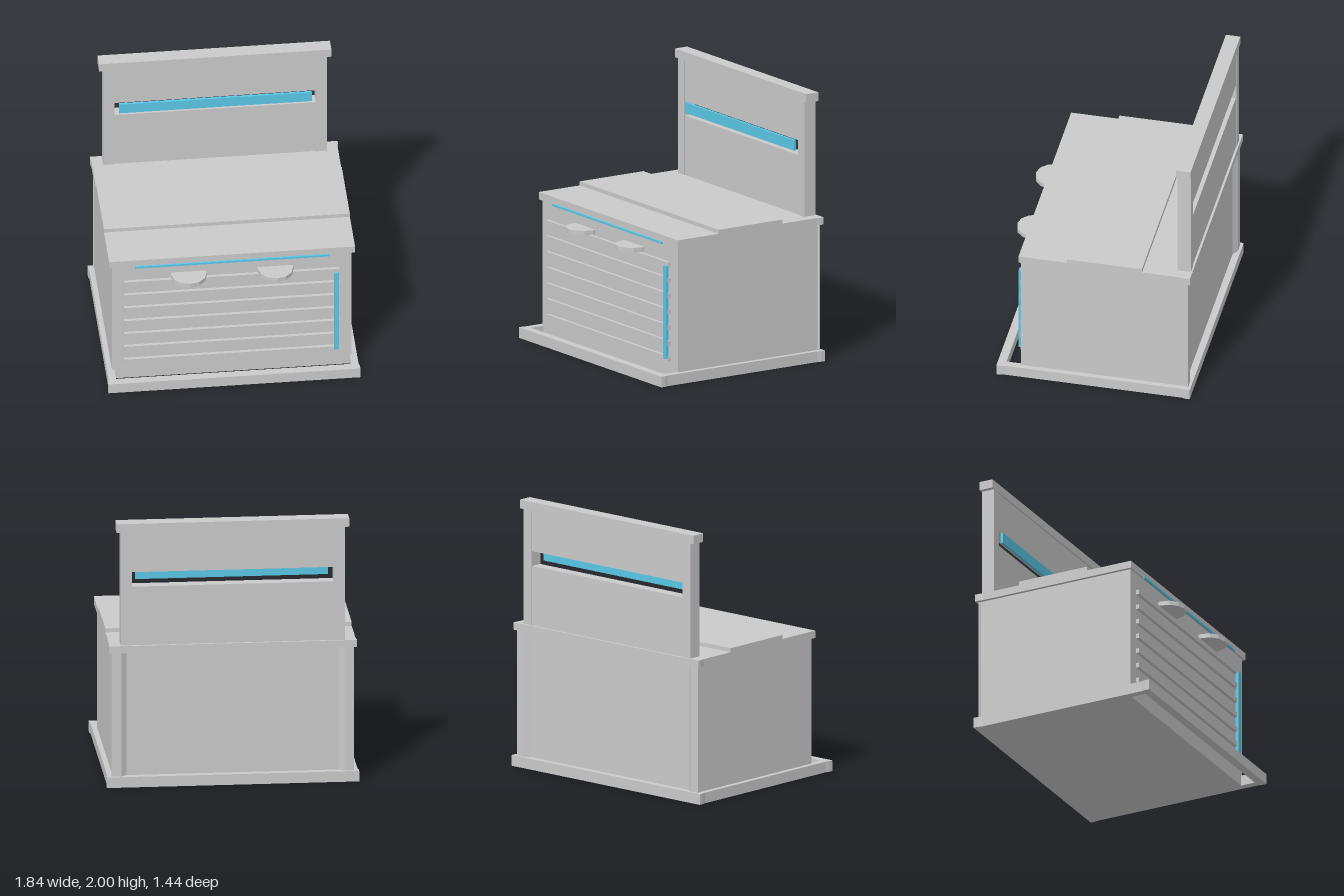
import * as THREE from 'three';

export function createModel() {
  const model = new THREE.Group();
  model.name = 'cabinet';
  const grey = new THREE.MeshStandardMaterial({ color: 0xcacaca });
  grey.name = 'grey';
  const blue = new THREE.MeshStandardMaterial({ color: 0x5ac8e6 });
  blue.name = 'blue';

  const add = (name, geometry, material = grey) => {
    const mesh = new THREE.Mesh(geometry, material);
    mesh.name = name;
    model.add(mesh);
    return mesh;
  };
  // Box given by its limits on each axis
  const box = (name, x0, x1, y0, y1, z0, z1, material) => {
    const mesh = add(name, new THREE.BoxGeometry(x1 - x0, y1 - y0, z1 - z0), material);
    mesh.position.set((x0 + x1) / 2, (y0 + y1) / 2, (z0 + z1) / 2);
    return mesh;
  };
  // Upright prism from a plan outline of [x, z] points; holes run the opposite way round
  const prism = (name, outline, y0, y1, holes = []) => {
    const toPoints = (list) => list.map(([x, z]) => new THREE.Vector2(x, -z));
    const shape = new THREE.Shape(toPoints(outline));
    shape.holes = holes.map((h) => new THREE.Path(toPoints(h)));
    const g = new THREE.ExtrudeGeometry(shape, { depth: y1 - y0, bevelEnabled: false });
    g.rotateX(-Math.PI / 2).translate(0, y0, 0);
    return add(name, g);
  };
  // Completes an outline from its +x half, listed back to front
  const mirrored = (half) => [...half, ...half.map(([x, z]) => [-x, z]).reverse()];

  // Plinth with slightly proud corners and an open slot in front of the body
  prism('plinth', mirrored([[0.922, -0.72], [0.922, -0.69], [0.915, -0.655], [0.915, 0.655], [0.922, 0.69], [0.922, 0.72]]),
    0, 0.08, [[[-0.86, 0.545], [-0.86, 0.657], [0.86, 0.657], [0.86, 0.545]]]);

  // Body with wider rear corner posts sloping in to a recessed back
  prism('body', mirrored([
    [0.775, -0.67], [0.815, -0.7], [0.885, -0.7], [0.885, -0.692], [0.877, -0.685], [0.877, 0.545],
  ]), 0.08, 1.02);

  // Worktop with its raised middle
  prism('worktop', mirrored([[0.906, -0.718], [0.906, -0.69], [0.9, -0.655], [0.9, 0.56]]), 1.02, 1.075);
  box('raisedTop', -0.9, 0.9, 1.075, 1.105, -0.36, 0.2);

  // Front slats
  for (let i = 0; i < 7; i++) {
    const y = 0.165 + i * 0.1175;
    box('slat', -0.79, 0.785, y - 0.018, y + 0.018, 0.545, 0.57);
  }

  // Faceted half-round handles
  for (const side of [-1, 1]) {
    const outline = [[-0.13, 0.545]];
    for (let i = 0; i <= 6; i++) {
      const a = (i * Math.PI) / 6;
      outline.push([-0.13 * Math.cos(a), 0.566 + 0.13 * Math.sin(a)]);
    }
    outline.push([0.13, 0.545]);
    prism('handle', outline, 0.9, 0.933).position.x = side * 0.317;
  }

  // Blue strips on the front
  box('doorStrip', 0.745, 0.78, 0.165, 0.86, 0.56, 0.585, blue);
  box('topStrip', -0.71, 0.71, 1.01, 1.025, 0.56, 0.573, blue);

  // Rear board: posts, cap and slotted panel
  for (const side of [-1, 1]) {
    const x = side * 0.778;
    box('post', x - 0.04, x + 0.04, 1.075, 1.935, -0.706, -0.608);
  }
  box('cap', -0.85, 0.85, 1.935, 2, -0.711, -0.603);
  box('lowerPanel', -0.74, 0.74, 1.075, 1.52, -0.701, -0.614);
  box('upperPanel', -0.74, 0.74, 1.63, 1.935, -0.701, -0.614);
  box('slotStrip', -0.705, 0.705, 1.55, 1.628, -0.612, -0.592, blue);

  return model;
}
